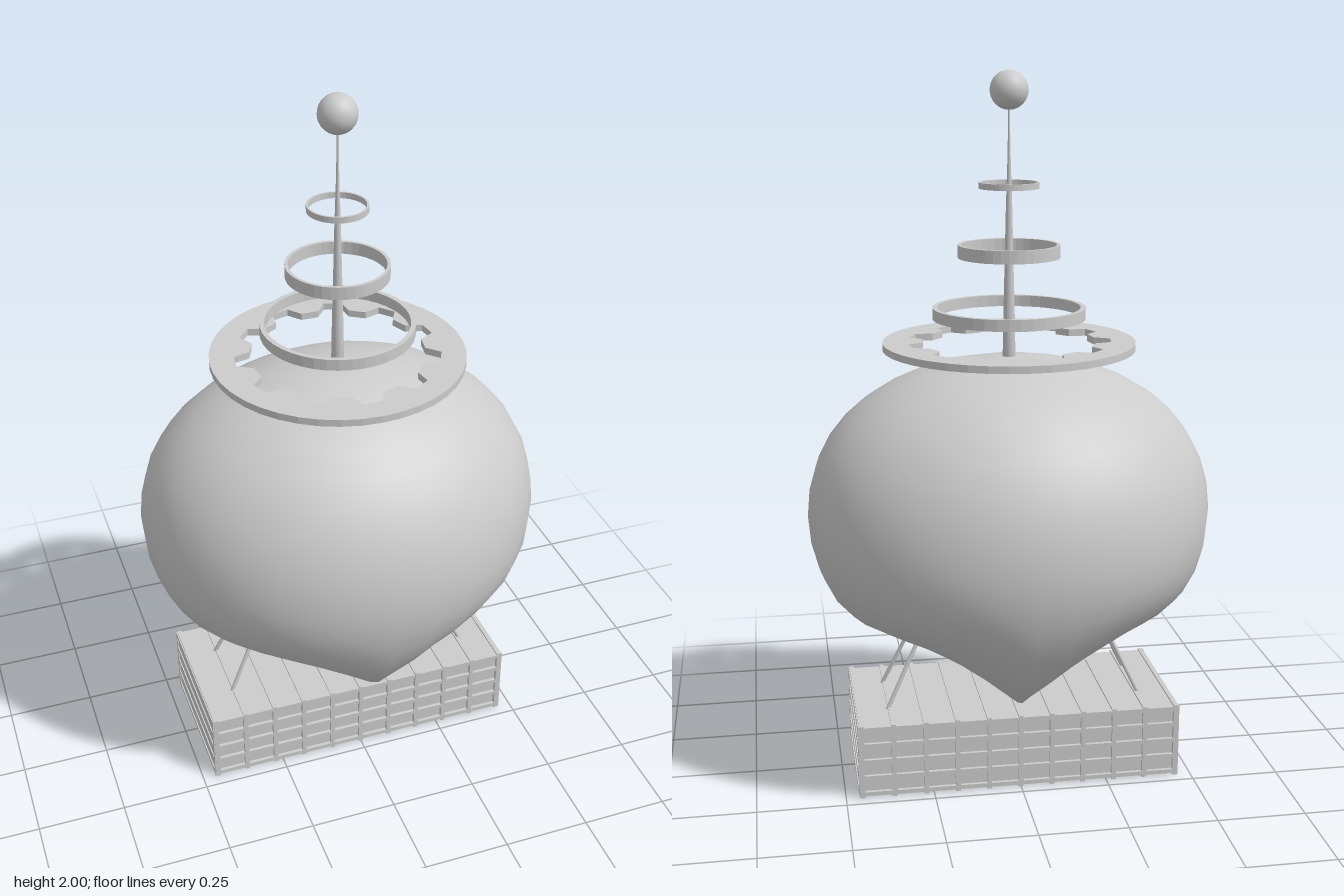
import * as THREE from 'three';
import { mergeVertices } from 'three/addons/utils/BufferGeometryUtils.js';

const material = new THREE.MeshStandardMaterial({ color: 0xcccccc });

function add(parent, name, geometry, x = 0, y = 0, z = 0) {
  const mesh = new THREE.Mesh(geometry, material);
  mesh.name = name;
  mesh.position.set(x, y, z);
  parent.add(mesh);
  return mesh;
}

// Sphere widened along x, its underside pinched to a keel on x = 0
function balloonGeometry(R) {
  let g = new THREE.SphereGeometry(R, 32, 20);
  g.deleteAttribute('uv');
  g.deleteAttribute('normal');
  g = mergeVertices(g, 1e-4);
  const p = g.attributes.position;
  for (let i = 0; i < p.count; i++) {
    const x = p.getX(i), y = p.getY(i), ax = Math.abs(x);
    const depth = Math.sqrt(Math.max(R * R - x * x, 1e-6));
    const low = Math.min(1, Math.max(0, -y / depth));
    const pinch = 0.95 * ax * Math.pow(depth / R, 4.5) * Math.pow(low, 1.5);
    p.setXYZ(i, x * 1.14, y + 0.24 * x * x + pinch, p.getZ(i));
  }
  g.computeVertexNormals();
  return g;
}

// Flat ring lying in the xz plane, centred on its own height
function ringGeometry(outer, hole, height) {
  const shape = new THREE.Shape().absarc(0, 0, outer, 0, Math.PI * 2, false);
  shape.holes.push(hole);
  const g = new THREE.ExtrudeGeometry(shape, { depth: height, bevelEnabled: false, curveSegments: 20 });
  g.rotateX(Math.PI / 2);
  g.translate(0, height / 2, 0);
  return g;
}

const roundHole = (r) => new THREE.Path().absarc(0, 0, r, 0, Math.PI * 2, true);

// Hole with flat-tipped teeth, one of them facing the front
function toothedHole(teeth, rIn, rOut) {
  const pts = [];
  const step = (Math.PI * 2) / teeth;
  for (let i = 0; i < teeth; i++) {
    for (const [f, r] of [[-0.32, rIn], [-0.16, rOut], [0.16, rOut], [0.32, rIn]]) {
      const a = Math.PI / 2 + (i + f) * step;
      pts.push(new THREE.Vector2(Math.cos(a) * r, Math.sin(a) * r));
    }
  }
  return new THREE.Path(pts.reverse());
}

// Thin round rod between two points
function rod(parent, name, a, b, r) {
  const mesh = add(parent, name, new THREE.CylinderGeometry(r, r, a.distanceTo(b), 8));
  mesh.position.copy(a).lerp(b, 0.5);
  mesh.quaternion.setFromUnitVectors(new THREE.Vector3(0, 1, 0), b.clone().sub(a).normalize());
}

export function createModel() {
  const model = new THREE.Group();
  model.name = 'airship';

  add(model, 'balloon', balloonGeometry(0.505), 0, 0.713, 0);

  // Gondola: inset core with raised horizontal bands and cross frames
  const gondola = new THREE.Group();
  gondola.name = 'gondola';
  model.add(gondola);
  add(gondola, 'gondolaCore', new THREE.BoxGeometry(0.906, 0.2, 0.412), 0, 0.109, 0);
  for (let i = 0; i <= 4; i++) {
    add(gondola, 'horizontalBand', new THREE.BoxGeometry(0.926, 0.012, 0.432), 0, 0.011 + i * 0.049, 0);
  }
  for (let i = 0; i <= 10; i++) {
    add(gondola, 'crossFrame', new THREE.BoxGeometry(0.013, 0.218, 0.434), -0.453 + i * 0.0906, 0.109, 0);
  }
  for (const sx of [-1, 1]) for (const sz of [-1, 1]) {
    add(gondola, 'cornerPost', new THREE.BoxGeometry(0.012, 0.216, 0.012), sx * 0.457, 0.109, sz * 0.21);
  }

  // Four struts between gondola and balloon
  for (const sx of [-1, 1]) for (const sz of [-1, 1]) {
    rod(model, 'strut', new THREE.Vector3(sx * 0.37, 0.21, sz * 0.096),
      new THREE.Vector3(sx * 0.275, 0.41, sz * 0.068), 0.006);
  }

  // Tapering mast with a ball on top
  const profile = [[0, 1.18], [0.019, 1.18], [0.016, 1.34], [0.012, 1.5], [0.009, 1.63],
    [0.005, 1.75], [0.003, 1.84], [0.003, 1.92]].map(([r, y]) => new THREE.Vector2(r, y));
  add(model, 'mast', new THREE.LatheGeometry(profile, 16));
  add(model, 'mastBall', new THREE.SphereGeometry(0.053, 24, 16), 0, 1.947, 0);

  // Rings floating around the mast
  add(model, 'toothedRing', ringGeometry(0.355, toothedHole(11, 0.244, 0.286), 0.02), 0, 1.25, 0);
  for (const [y, outer, inner, height] of [
    [1.34, 0.214, 0.2, 0.032], [1.512, 0.142, 0.133, 0.036], [1.692, 0.083, 0.077, 0.017],
  ]) {
    add(model, 'mastRing', ringGeometry(outer, roundHole(inner), height), 0, y, 0);
  }

  return model;
}
